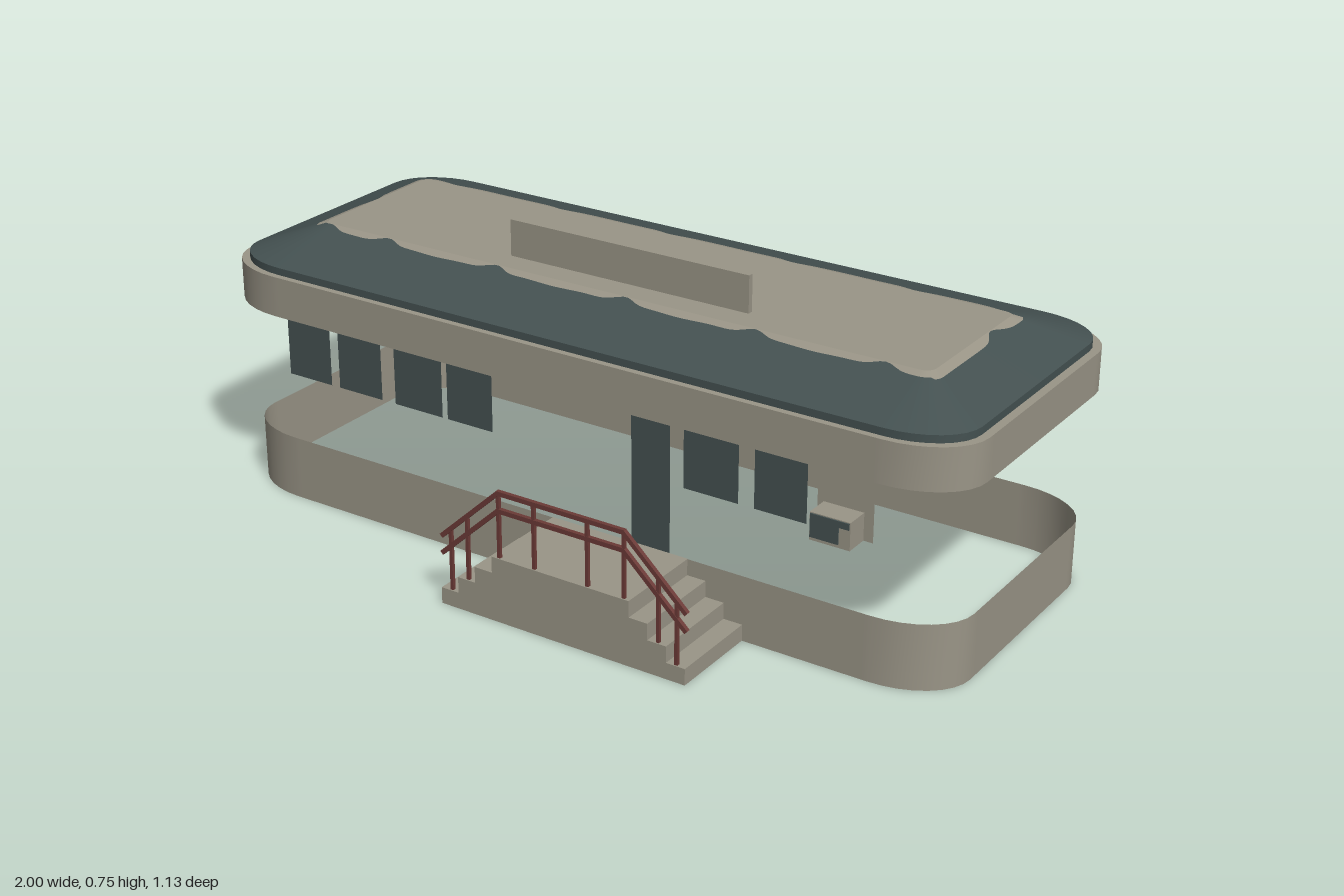
import * as THREE from 'three';

const mat = (name, color) => {
  const m = new THREE.MeshStandardMaterial({ color, side: THREE.DoubleSide });
  m.name = name;
  return m;
};

// Rounded-rectangle loop in the XZ plane, evenly matched between sizes
function ring(hx, z0, z1, rx, rz, y) {
  const zc = (z0 + z1) / 2, hz = (z1 - z0) / 2, n = 8, pts = [];
  const arcPoint = (q, a) => {
    const sx = q === 0 || q === 3 ? 1 : -1, sz = q < 2 ? 1 : -1;
    return new THREE.Vector3(sx * (hx - rx) + rx * Math.cos(a), y, zc + sz * (hz - rz) + rz * Math.sin(a));
  };
  for (let q = 0; q < 4; q++) {
    const a0 = q * Math.PI / 2, a1 = a0 + Math.PI / 2;
    for (let i = 0; i < n; i++) pts.push(arcPoint(q, a0 + (i / n) * (a1 - a0)));
    const from = arcPoint(q, a1), to = arcPoint((q + 1) % 4, a1);
    const m = q % 2 === 0 ? 120 : 30;
    for (let i = 0; i < m; i++) pts.push(from.clone().lerp(to, i / m));
  }
  return pts;
}

// Skin between two matched loops
function band(a, b) {
  const n = a.length, idx = [];
  for (let i = 0; i < n; i++) {
    const j = (i + 1) % n;
    idx.push(i, n + i, j, j, n + i, n + j);
  }
  const g = new THREE.BufferGeometry().setFromPoints([...a, ...b]);
  g.setIndex(idx);
  g.computeVertexNormals();
  return g;
}

export function createModel() {
  const model = new THREE.Group();
  model.name = 'diner';
  const beige = mat('weathered beige', 0x9a9587);
  const teal = mat('dark teal', 0x445151);
  const red = mat('rust red', 0x6b3a36);

  const add = (name, geo, material, parent = model) => {
    const m = new THREE.Mesh(geo, material);
    m.name = name;
    parent.add(m);
    return m;
  };
  const box = (name, x0, x1, y0, y1, z0, z1, material, parent) => {
    const m = add(name, new THREE.BoxGeometry(x1 - x0, y1 - y0, z1 - z0), material, parent);
    m.position.set((x0 + x1) / 2, (y0 + y1) / 2, (z0 + z1) / 2);
    return m;
  };

  // Open base wall
  const base = y => ring(0.98, -0.42, 0.332, 0.18, 0.13, y);
  add('baseWall', band(base(0), base(0.16)), beige);

  // Roof fascia with its top lip
  const fascia = y => ring(1, -0.44, 0.352, 0.18, 0.13, y);
  const eave = y => ring(0.98, -0.424, 0.336, 0.165, 0.118, y);
  add('fascia', band(fascia(0.482), fascia(0.583)), beige);
  add('fasciaLip', band(fascia(0.583), eave(0.583)), beige);

  // Roof shell: vertical eave, dark slope with a ragged edge, pale flat top
  const low = eave(0.601);
  const flat = ring(0.825, -0.242, 0.152, 0.025, 0.025, 0.66);
  const frontTeeth = [-0.8, -0.62, -0.3, 0.06, 0.4, 0.72];
  const backTeeth = [-0.73, -0.4, -0.08, 0.26, 0.58, 0.8];
  const ragged = flat.map((p, i) => {
    const isEnd = Math.abs(p.x) > 0.82;
    const teeth = isEnd ? [p.x > 0 ? -0.12 : -0.05] : p.z > 0 ? frontTeeth : backTeeth;
    const s = isEnd ? p.z : p.x;
    let t = isEnd ? 0.15 : 0.12 + 0.008 * Math.sin(s * 37);
    for (const c of teeth) t *= 1 - 0.95 * Math.exp(-(((s - c) / 0.035) ** 2));
    return p.clone().lerp(low[i], t);
  });
  add('roofEave', band(eave(0.583), low), teal);
  add('roofSlope', band(low, ragged), teal);
  add('roofPaleEdge', band(ragged, flat), beige);
  add('roofTop', band(flat, flat.map(p => new THREE.Vector3(p.x, p.y, -0.045))), beige);
  box('roofSignBoard', -0.31, 0.34, 0.645, 0.75, 0.072, 0.086, beige);

  // Thin panes; the back wall is the front one turned half round
  const pane = (name, x0, x1, y0, y1, z, material) => {
    const g = new THREE.PlaneGeometry(x1 - x0, y1 - y0);
    if (z < 0) g.rotateY(Math.PI);
    add(name, g, material).position.set((x0 + x1) / 2, (y0 + y1) / 2, z);
  };
  const windows = [[-0.8, -0.67], [-0.645, -0.515], [-0.475, -0.335], [-0.32, -0.19],
    [0.33, 0.47], [0.51, 0.64], [0.665, 0.8]];
  windows.forEach(([a, b], i) => {
    pane('frontWindow', a, b, 0.33, 0.486, 0.33, i === 6 ? beige : teal);
    if (i !== 3 && i !== 4) pane('backWindow', -b, -a, 0.33, 0.486, -0.42, teal);
  });
  pane('frontDoor', 0.193, 0.295, 0.16, 0.486, 0.33, teal);
  pane('backDoor', -0.295, -0.193, 0.16, 0.486, -0.42, teal);

  // Back windows with a pale blind over dark glass
  const poly = (name, pts, material) => {
    const g = new THREE.ShapeGeometry(new THREE.Shape(pts.map(p => new THREE.Vector2(-p[0], p[1]))));
    g.rotateY(Math.PI);
    add(name, g, material).position.z = -0.42;
  };
  for (const [x0, x1, yl, yr] of [[0.19, 0.32, 0.35, 0.4], [-0.47, -0.33, 0.355, 0.365]]) {
    poly('windowBlind', [[x0, yl], [x1, yr], [x1, 0.486], [x0, 0.486]], beige);
    poly('windowGlass', [[x0, 0.33], [x1, 0.33], [x1, yr], [x0, yl]], teal);
  }

  // Window cooler unit
  box('coolerUnit', 0.68, 0.777, 0.33, 0.395, 0.33, 0.388, beige);
  box('coolerGrille', 0.682, 0.75, 0.338, 0.393, 0.388, 0.391, teal);
  box('coolerGrilleTop', 0.75, 0.775, 0.378, 0.393, 0.388, 0.391, teal);

  // Two-way steps: open underneath, with a stepped outer panel
  const steps = (name, x0, x1, zIn, zOut) => {
    const group = new THREE.Group();
    group.name = name;
    model.add(group);
    const profile = [], run = 0.048, rise = 0.04;
    for (let i = 0; i < 4; i++) profile.push([x0 + i * run, i * rise], [x0 + i * run, (i + 1) * rise]);
    for (let i = 3; i >= 0; i--) profile.push([x1 - i * run, (i + 1) * rise], [x1 - i * run, i * rise]);
    const panel = new THREE.ShapeGeometry(new THREE.Shape(profile.map(p => new THREE.Vector2(...p))));
    if (zOut < 0) {
      panel.translate(-(x0 + x1) / 2, 0, 0).rotateY(Math.PI).translate((x0 + x1) / 2, 0, 0);
    }
    add('stepPanel', panel, beige, group).position.z = zOut;
    const z0 = Math.min(zIn, zOut), z1 = Math.max(zIn, zOut), pos = [];
    for (let i = 0; i + 1 < profile.length; i++) {
      const [a, b] = profile[i], [c, d] = profile[i + 1];
      pos.push(...[[a, b, z0], [a, b, z1], [c, d, z1], [a, b, z0], [c, d, z1], [c, d, z0]]
        .map(p => new THREE.Vector3(...p)));
    }
    const g = new THREE.BufferGeometry().setFromPoints(pos);
    g.computeVertexNormals();
    add('treads', g, beige, group);
  };
  steps('frontSteps', -0.167, 0.487, 0.33, 0.563);
  steps('backSteps', -0.51, 0.145, -0.42, -0.565);

  // Front railing
  const railing = new THREE.Group();
  railing.name = 'railing';
  model.add(railing);
  const rail = (xa, ya, xb, yb) => {
    const g = new THREE.BoxGeometry(Math.hypot(xb - xa, yb - ya) + 0.006, 0.011, 0.01);
    const m = add('rail', g, red, railing);
    m.position.set((xa + xb) / 2, (ya + yb) / 2, 0.556);
    m.rotation.z = Math.atan2(yb - ya, xb - xa);
  };
  for (const drop of [0, 0.043]) {
    rail(-0.163, 0.172 - drop, -0.005, 0.319 - drop);
    rail(-0.005, 0.319 - drop, 0.327, 0.319 - drop);
    rail(0.327, 0.319 - drop, 0.485, 0.172 - drop);
  }
  for (const [x, y0, y1] of [[-0.14, 0.04, 0.19], [-0.093, 0.08, 0.235], [-0.005, 0.16, 0.32], [0.09, 0.16, 0.32]]) {
    for (const px of [x, 0.322 - x]) box('railPost', px - 0.004, px + 0.004, y0, y1, 0.552, 0.56, red, railing);
  }
  return model;
}
